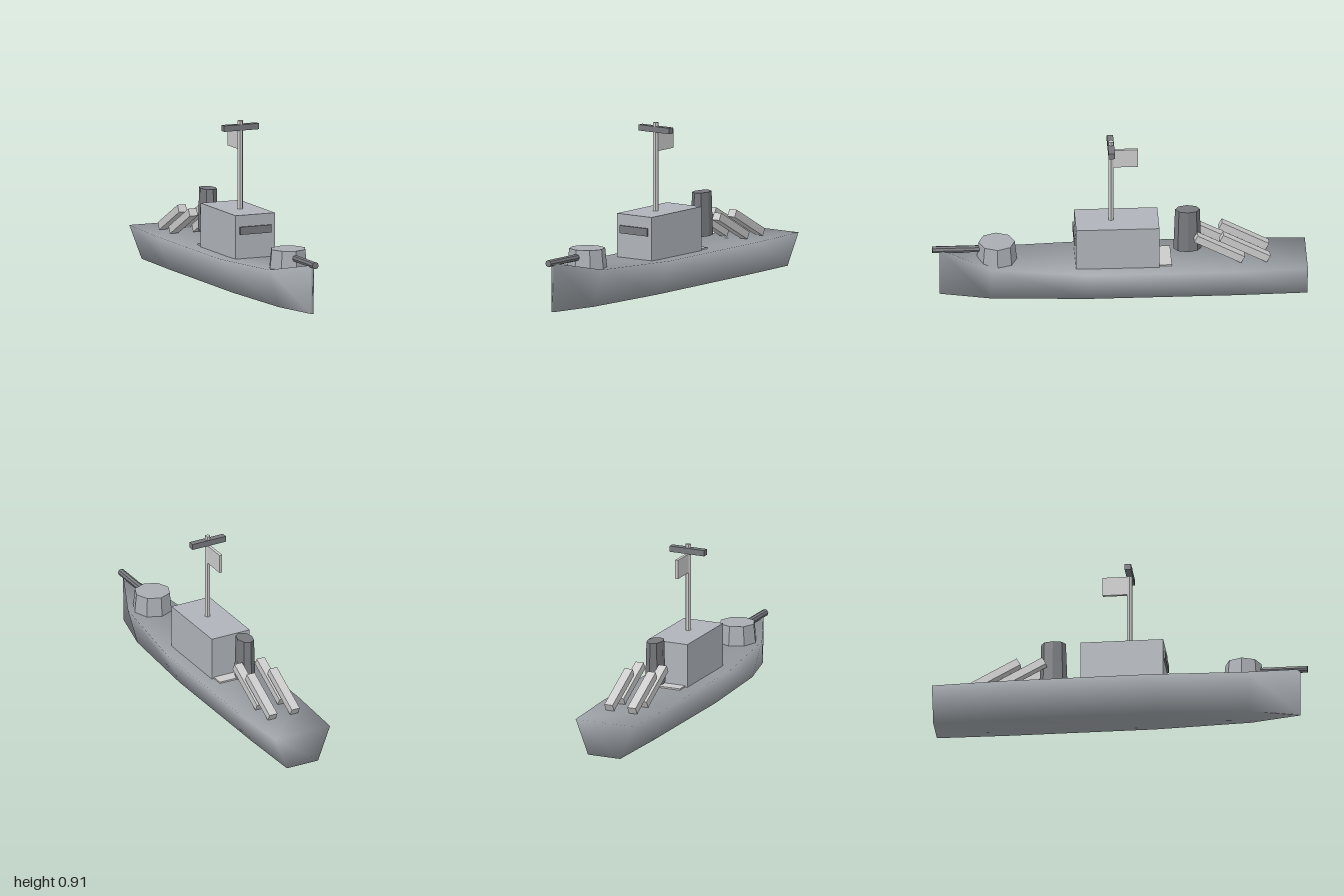
import * as THREE from 'three';

const paint = (color, flatShading = true) => new THREE.MeshStandardMaterial({ color, flatShading });
const hullGrey = paint(0x9a9fa4, false);
const cabinGrey = paint(0xb0b4ba);
const turretGrey = paint(0xa9adb2);
const darkGrey = paint(0x77797d);
const lightGrey = paint(0xcccccc);

function add(parent, name, material, geometry, x = 0, y = 0, z = 0) {
  const mesh = new THREE.Mesh(geometry, material);
  mesh.name = name;
  mesh.position.set(x, y, z);
  parent.add(mesh);
  return mesh;
}

// Hull lofted through four-cornered sections: z, deck half width, keel half width, deck height
function hullGeometry() {
  const sections = [
    [-1.0, 0.168, 0.095, 0.188],
    [-0.62, 0.187, 0.104, 0.188],
    [0.17, 0.187, 0.104, 0.19],
    [0.69, 0.13, 0.072, 0.206],
    [0.96, 0.01, 0.007, 0.264],
  ];
  const positions = [];
  const index = [];
  for (const [z, deck, keel, h] of sections) {
    positions.push(-keel, 0, z, keel, 0, z, deck, h, z, -deck, h, z);
  }
  for (let s = 0; s < sections.length - 1; s++) {
    for (let i = 0; i < 4; i++) {
      const a = s * 4 + i;
      const b = s * 4 + ((i + 1) % 4);
      index.push(a, b, b + 4, a, b + 4, a + 4);
    }
  }
  const e = (sections.length - 1) * 4;
  index.push(0, 2, 1, 0, 3, 2); // transom
  index.push(e, e + 1, e + 2, e, e + 2, e + 3); // bow edge
  const g = new THREE.BufferGeometry();
  g.setAttribute('position', new THREE.Float32BufferAttribute(positions, 3));
  g.setIndex(index);
  g.computeVertexNormals(); // shared corners give soft shading
  return g;
}

export function createModel() {
  const ship = new THREE.Group();
  ship.name = 'patrolShip';

  add(ship, 'hull', hullGrey, hullGeometry());

  // Bow gun
  const gun = new THREE.Group();
  gun.name = 'bowGun';
  gun.position.z = 0.655;
  ship.add(gun);
  add(gun, 'turret', turretGrey, new THREE.CylinderGeometry(0.097, 0.108, 0.107, 8), 0, 0.2535, 0);
  add(gun, 'gunBarrel', darkGrey, new THREE.CylinderGeometry(0.019, 0.019, 0.28, 8).rotateX(Math.PI / 2), 0, 0.267, 0.205);

  // Superstructure
  add(ship, 'cabin', cabinGrey, new THREE.BoxGeometry(0.231, 0.247, 0.445), 0, 0.3035, 0.0135);
  add(ship, 'bridgeWindow', darkGrey, new THREE.BoxGeometry(0.184, 0.042, 0.03), 0, 0.344, 0.231);
  add(ship, 'cabinBase', lightGrey, new THREE.BoxGeometry(0.206, 0.026, 0.49), 0, 0.184, -0.031);

  // Mast with crossbar and flag
  const mast = new THREE.Group();
  mast.name = 'mast';
  mast.position.z = 0.045;
  ship.add(mast);
  add(mast, 'mastPole', lightGrey, new THREE.CylinderGeometry(0.0155, 0.0155, 0.485, 6).rotateY(Math.PI / 6), 0, 0.6625, 0);
  add(mast, 'crossbar', darkGrey, new THREE.BoxGeometry(0.204, 0.032, 0.034), 0, 0.869, 0);
  add(mast, 'flag', lightGrey, new THREE.BoxGeometry(0.016, 0.104, 0.14), 0, 0.801, -0.075);

  // Oval funnel
  const funnel = add(ship, 'funnel', darkGrey, new THREE.CylinderGeometry(0.066, 0.075, 0.237, 8), 0, 0.3585, -0.364);
  funnel.scale.x = 0.65;

  // Tilted launch tubes, two on each side
  for (const side of [-1, 1]) {
    for (const z of [-0.531, -0.668]) {
      const tube = add(ship, 'launchTube', lightGrey, new THREE.BoxGeometry(0.048, 0.042, 0.285), side * 0.068, 0.276, z);
      tube.rotation.x = -0.49;
    }
  }

  return ship;
}
